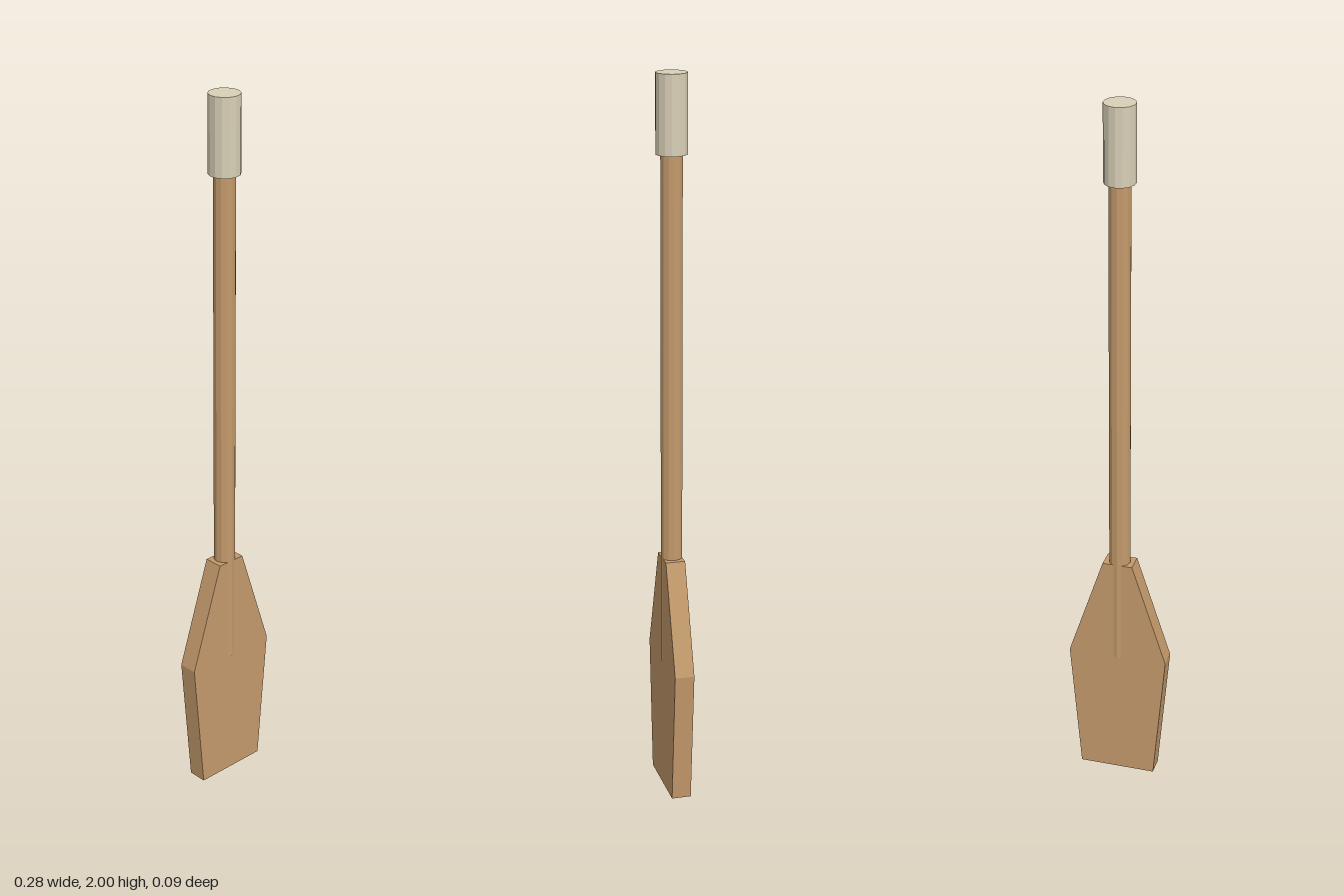
import * as THREE from 'three';

export function createModel() {
  const group = new THREE.Group();
  const wood = new THREE.MeshStandardMaterial({ name: 'wood', color: 0xc49a6c, flatShading: true });
  const wrap = new THREE.MeshStandardMaterial({ name: 'pale wrap', color: 0xd8cfb6, flatShading: true });

  const add = (name, geometry, material) => {
    const mesh = new THREE.Mesh(geometry, material);
    mesh.name = name;
    group.add(mesh);
    return mesh;
  };
  // Upright cylinder between two heights
  const rod = (name, radius, y0, y1, sides, material) => {
    add(name, new THREE.CylinderGeometry(radius, radius, y1 - y0, sides), material).position.y = (y0 + y1) / 2;
  };

  // Flat blade: narrow tip, widest at the shoulder, tapering up to the neck
  const half = [[0.107, 0], [0.14, 0.38], [0.042, 0.68]];
  const outline = [...half, ...half.map(([x, y]) => [-x, y]).reverse()];
  const shape = new THREE.Shape(outline.map(([x, y]) => new THREE.Vector2(x, y)));
  const thickness = 0.054;
  const blade = new THREE.ExtrudeGeometry(shape, { depth: thickness, bevelEnabled: false });
  blade.translate(0, 0, -thickness / 2);
  add('blade', blade, wood);

  // Shaft runs down into the blade and stands slightly proud of it
  rod('shaft', 0.03, 0.375, 1.8, 12, wood);

  // Thicker handle grip
  rod('grip', 0.0425, 1.79, 2, 14, wrap);

  return group;
}
